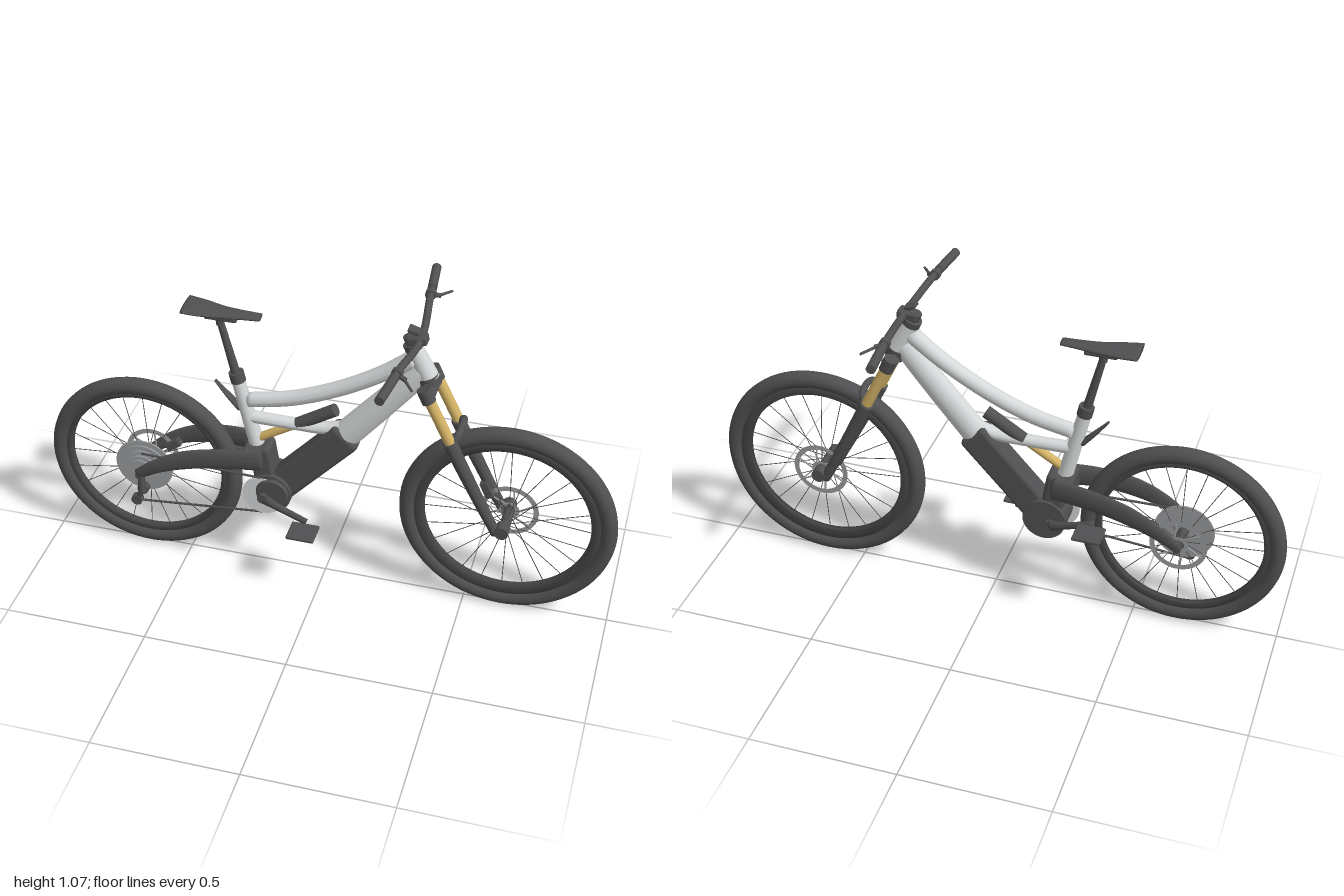
import * as THREE from 'three';
import { RoundedBoxGeometry } from 'three/addons/geometries/RoundedBoxGeometry.js';

const material = (name, color, side = THREE.FrontSide) => {
  const m = new THREE.MeshStandardMaterial({ color, side });
  m.name = name;
  return m;
};

export function createModel() {
  const bike = new THREE.Group();
  bike.name = 'mountainBike';
  const dark = material('darkGrey', 0x505052);
  const light = material('lightFrame', 0xd6d9da);
  const gold = material('gold', 0xd4b366);
  const steel = material('steel', 0x9a9d9f, THREE.DoubleSide);
  const V = (p) => new THREE.Vector3(...p);

  const add = (name, geo, mat, parent = bike) => {
    const mesh = new THREE.Mesh(geo, mat);
    mesh.name = name;
    parent.add(mesh);
    return mesh;
  };
  // Straight round bar between two points
  const rod = (name, mat, a, b, r1, r2 = r1, parent = bike, sides = 20) => {
    const A = V(a), B = V(b), d = B.clone().sub(A);
    const m = add(name, new THREE.CylinderGeometry(r2, r1, d.length(), sides), mat, parent);
    m.position.copy(A).add(B).multiplyScalar(0.5);
    m.quaternion.setFromUnitVectors(new THREE.Vector3(0, 1, 0), d.normalize());
    return m;
  };
  const box = (name, mat, size, pos, angle = 0, r = 0.005) => {
    const m = add(name, new RoundedBoxGeometry(...size, 2, r), mat);
    m.position.set(...pos);
    m.rotation.z = angle;
    return m;
  };
  // Curved tube with changing oval section; rows are x, y, z, in-plane radius, z radius
  const sweep = (name, mat, rows, segs = 36, sides = 20) => {
    const curve = new THREE.CatmullRomCurve3(rows.map((r) => V(r)));
    const radii = new THREE.CatmullRomCurve3(rows.map((r) => new THREE.Vector3(r[3], r[4], 0)));
    const geo = new THREE.TubeGeometry(curve, segs, 1, sides);
    const pos = geo.attributes.position, v = new THREE.Vector3();
    for (let i = 0; i <= segs; i++) {
      const end = i === 0 || i === segs;
      const c = curve.getPointAt(i / segs);
      const target = curve.getPointAt(Math.min(segs - 1, Math.max(1, i)) / segs);
      const r = radii.getPoint(curve.getUtoTmapping(i / segs));
      for (let j = 0; j <= sides; j++) {
        const k = i * (sides + 1) + j;
        v.fromBufferAttribute(pos, k).sub(c);
        if (end) v.set(0, 0, 0);
        pos.setXYZ(k, target.x + v.x * r.x, target.y + v.y * r.x, target.z + v.z * r.y);
      }
    }
    geo.computeVertexNormals();
    return add(name, geo, mat);
  };

  // Wheels: tyre, rim, hub, spokes and brake rotor
  const wheel = (name, x, y, R, rimIn, rotorZ, rotorR) => {
    const g = new THREE.Group();
    g.name = name;
    g.position.set(x, y, 0);
    bike.add(g);
    add('tyre', new THREE.TorusGeometry(R - 0.03, 0.03, 16, 80), dark, g);
    const o = R - 0.05;
    const rim = [[rimIn, -0.01], [o, -0.018], [o, 0.018], [rimIn, 0.01], [rimIn, -0.01]]
      .map((p) => new THREE.Vector2(...p)).reverse();
    const rimMesh = add('rim', new THREE.LatheGeometry(rim, 80), dark, g);
    rimMesh.rotation.x = Math.PI / 2;
    rimMesh.material = rimMat;
    rod('hub', dark, [0, 0, -0.055], [0, 0, 0.055], 0.018, 0.018, g);
    for (let i = 0; i < 24; i++) {
      const a = (i / 24) * Math.PI * 2, b = a + (i % 4 < 2 ? 0.07 : -0.07);
      rod('spoke', dark, [0.018 * Math.cos(b), 0.018 * Math.sin(b), i % 2 ? 0.03 : -0.03],
        [(rimIn + 0.004) * Math.cos(a), (rimIn + 0.004) * Math.sin(a), 0], 0.0014, 0.0014, g, 5);
    }
    const ring = (rIn, rOut) => {
      const m = add('brakeRotor', new THREE.RingGeometry(rIn, rOut, 48), steel, g);
      m.position.z = rotorZ;
    };
    ring(rotorR - 0.018, rotorR);
    ring(0.02, 0.034);
    for (let i = 0; i < 6; i++) {
      const a = (i / 6) * Math.PI * 2, e = rotorR - 0.012;
      rod('rotorArm', steel, [0.03 * Math.cos(a), 0.03 * Math.sin(a), rotorZ],
        [e * Math.cos(a + 0.4), e * Math.sin(a + 0.4), rotorZ], 0.003, 0.003, g, 6);
    }
  };
  const rimMat = material('rimGrey', 0x464648, THREE.DoubleSide);
  wheel('rearWheel', -0.65, 0.355, 0.35, 0.277, -0.058, 0.098);
  wheel('frontWheel', 0.63, 0.375, 0.37, 0.284, -0.045, 0.1);

  // Frame tubes
  rod('headTube', light, [0.345, 0.895, 0], [0.29, 1.005, 0], 0.034, 0.029);
  sweep('topTube', light, [[0.31, 0.975, 0, 0.03, 0.028], [0.18, 0.877, 0, 0.027, 0.027],
    [0.03, 0.79, 0, 0.027, 0.026], [-0.12, 0.728, 0, 0.027, 0.025], [-0.285, 0.69, 0, 0.027, 0.023]]);
  sweep('downTube', light, [[0.335, 0.935, 0, 0.04, 0.03], [0.27, 0.855, 0, 0.043, 0.034],
    [0.17, 0.735, 0, 0.047, 0.036], [0.04, 0.58, 0, 0.05, 0.036]]);
  sweep('middleTube', light, [[-0.28, 0.628, 0, 0.022, 0.022], [-0.12, 0.626, 0, 0.021, 0.022],
    [0, 0.63, 0, 0.022, 0.024], [0.12, 0.66, 0, 0.026, 0.026]]);
  rod('seatTube', light, [-0.238, 0.5, 0], [-0.303, 0.775, 0], 0.027, 0.023);
  box('battery', dark, [0.36, 0.112, 0.078], [-0.04, 0.492, 0], 0.83, 0.018);

  // Motor and pivot housing
  rod('motor', dark, [-0.185, 0.35, -0.055], [-0.185, 0.35, 0.055], 0.075, 0.075, bike, 32);
  rod('motorCover', dark, [-0.175, 0.355, 0.05], [-0.175, 0.355, 0.066], 0.062, 0.054, bike, 32);
  box('pivotHousing', dark, [0.075, 0.14, 0.09], [-0.215, 0.455, 0], 0.15, 0.015);
  rod('chainring', light, [-0.208, 0.338, 0.046], [-0.208, 0.338, 0.058], 0.074, 0.074, bike, 40);

  // Cranks and pedals
  sweep('rightCrank', dark, [[-0.205, 0.34, 0.072, 0.022, 0.012], [-0.15, 0.32, 0.08, 0.014, 0.01],
    [-0.035, 0.28, 0.09, 0.012, 0.008]], 20, 12);
  sweep('leftCrank', dark, [[-0.205, 0.34, -0.068, 0.022, 0.012], [-0.26, 0.36, -0.078, 0.014, 0.01],
    [-0.375, 0.4, -0.088, 0.012, 0.008]], 20, 12);
  rod('crankAxle', dark, [-0.205, 0.34, -0.075], [-0.205, 0.34, 0.08], 0.018);
  box('rightPedal', dark, [0.098, 0.012, 0.088], [-0.042, 0.279, 0.142]);
  box('leftPedal', dark, [0.098, 0.012, 0.088], [-0.365, 0.396, -0.143]);

  // Swingarm, one arm each side joined by a yoke
  for (const s of [1, -1]) {
    sweep('swingarm', dark, [[-0.665, 0.35, s * 0.078, 0.018, 0.01], [-0.58, 0.41, s * 0.084, 0.027, 0.011],
      [-0.475, 0.455, s * 0.08, 0.037, 0.012], [-0.34, 0.479, s * 0.068, 0.04, 0.014],
      [-0.2, 0.482, s * 0.046, 0.042, 0.016]]);
  }
  box('swingarmYoke', dark, [0.07, 0.08, 0.11], [-0.245, 0.483, 0], 0, 0.012);
  rod('rearAxle', dark, [-0.65, 0.355, -0.088], [-0.65, 0.355, 0.088], 0.014);
  box('rearCaliper', dark, [0.06, 0.03, 0.03], [-0.57, 0.405, -0.06], 0.6);

  // Cassette, derailleur and chain
  [0.104, 0.088, 0.072, 0.056, 0.042].forEach((r, i) =>
    rod('cassette', steel, [-0.652, 0.355, 0.02 + i * 0.008], [-0.652, 0.355, 0.025 + i * 0.008], r, r, bike, 40));
  rod('derailleurArm', dark, [-0.645, 0.345, 0.075], [-0.645, 0.285, 0.075], 0.012, 0.016);
  rod('derailleurCage', dark, [-0.643, 0.29, 0.07], [-0.67, 0.235, 0.066], 0.01);
  for (const [x, y] of [[-0.643, 0.29], [-0.67, 0.235]])
    rod('jockeyWheel', dark, [x, y, 0.055], [x, y, 0.078], 0.02);
  rod('lowerChain', dark, [-0.67, 0.222, 0.055], [-0.205, 0.265, 0.053], 0.004, 0.004, bike, 6);
  rod('upperChain', dark, [-0.65, 0.425, 0.048], [-0.205, 0.411, 0.053], 0.004, 0.004, bike, 6);

  // Rear shock
  rod('shockShaft', gold, [-0.24, 0.54, 0], [-0.09, 0.632, 0], 0.015);
  rod('shockBody', dark, [-0.1, 0.625, 0], [0.035, 0.71, 0], 0.022);

  // Saddle, seat post and small rear guard
  rod('seatPost', dark, [-0.3, 0.76, 0], [-0.355, 0.99, 0], 0.016, 0.012);
  rod('seatClamp', dark, [-0.3, 0.765, 0], [-0.308, 0.8, 0], 0.026);
  box('saddleRails', dark, [0.11, 0.016, 0.04], [-0.35, 1.01, 0]);
  rod('postHead', dark, [-0.355, 0.98, 0], [-0.357, 1.015, 0], 0.014);
  sweep('saddle', dark, [[-0.483, 1.036, 0, 0.011, 0.056], [-0.42, 1.031, 0, 0.012, 0.05],
    [-0.34, 1.026, 0, 0.012, 0.034], [-0.27, 1.027, 0, 0.01, 0.025], [-0.208, 1.028, 0, 0.008, 0.021]], 30);
  sweep('rearGuard', dark, [[-0.29, 0.648, 0, 0.012, 0.016], [-0.34, 0.703, 0, 0.008, 0.013],
    [-0.388, 0.76, 0, 0.003, 0.006]], 16, 10);

  // Suspension fork
  for (const s of [1, -1]) {
    const z = s * 0.066;
    rod('stanchion', gold, [0.345, 0.885, z], [0.45, 0.67, z], 0.0185);
    sweep('forkLower', dark, [[0.428, 0.712, z, 0.024, 0.022], [0.47, 0.625, z, 0.023, 0.022],
      [0.54, 0.485, z, 0.02, 0.02], [0.61, 0.35, z, 0.017, 0.017]]);
    rod('crownClamp', dark, [0.34, 0.895, z], [0.36, 0.85, z], 0.024);
    rod('forkDropout', dark, [0.625, 0.375, s * 0.045], [0.625, 0.375, s * 0.086], 0.024);
  }
  box('forkCrown', dark, [0.05, 0.036, 0.13], [0.352, 0.872, 0], -0.45, 0.01);
  rod('crownRace', dark, [0.352, 0.87, 0], [0.338, 0.905, 0], 0.036);
  sweep('forkArch', dark, [[0.44, 0.69, 0.066, 0.014, 0.014], [0.455, 0.72, 0.05, 0.013, 0.013],
    [0.461, 0.734, 0, 0.012, 0.012], [0.455, 0.72, -0.05, 0.013, 0.013], [0.44, 0.69, -0.066, 0.014, 0.014]]);
  box('frontCaliper', dark, [0.03, 0.065, 0.028], [0.55, 0.45, -0.045], 0.45);

  // Cockpit: headset, stem, handlebar, grips and brake levers
  rod('headset', dark, [0.292, 1, 0], [0.283, 1.02, 0], 0.031);
  rod('steerer', dark, [0.285, 1.015, 0], [0.272, 1.045, 0], 0.02);
  box('stem', dark, [0.07, 0.03, 0.045], [0.3, 1.036, 0], 0.15, 0.008);
  box('display', dark, [0.04, 0.012, 0.036], [0.29, 1.068, 0], -0.3, 0.003);
  rod('displayMount', dark, [0.3, 1.04, 0], [0.292, 1.066, 0], 0.007);
  const half = [[0.277, 1.063, 0.38], [0.293, 1.06, 0.21], [0.308, 1.042, 0.08]];
  const barCurve = new THREE.CatmullRomCurve3([...half.map(V), V([0.312, 1.038, 0]),
    ...half.map(([x, y, z]) => V([x, y, -z])).reverse()]);
  add('handlebar', new THREE.TubeGeometry(barCurve, 48, 0.0125, 14), dark);
  for (const s of [1, -1]) {
    rod('grip', dark, [0.288, 1.062, s * 0.265], [0.274, 1.064, s * 0.398], 0.0155);
    rod('leverClamp', dark, [0.291, 1.06, s * 0.225], [0.29, 1.06, s * 0.245], 0.018);
    rod('leverBody', dark, [0.29, 1.058, s * 0.235], [0.32, 1.05, s * 0.25], 0.008);
    rod('brakeLever', dark, [0.31, 1.052, s * 0.24], [0.35, 1.045, s * 0.295], 0.0055, 0.004);
  }
  return bike;
}
